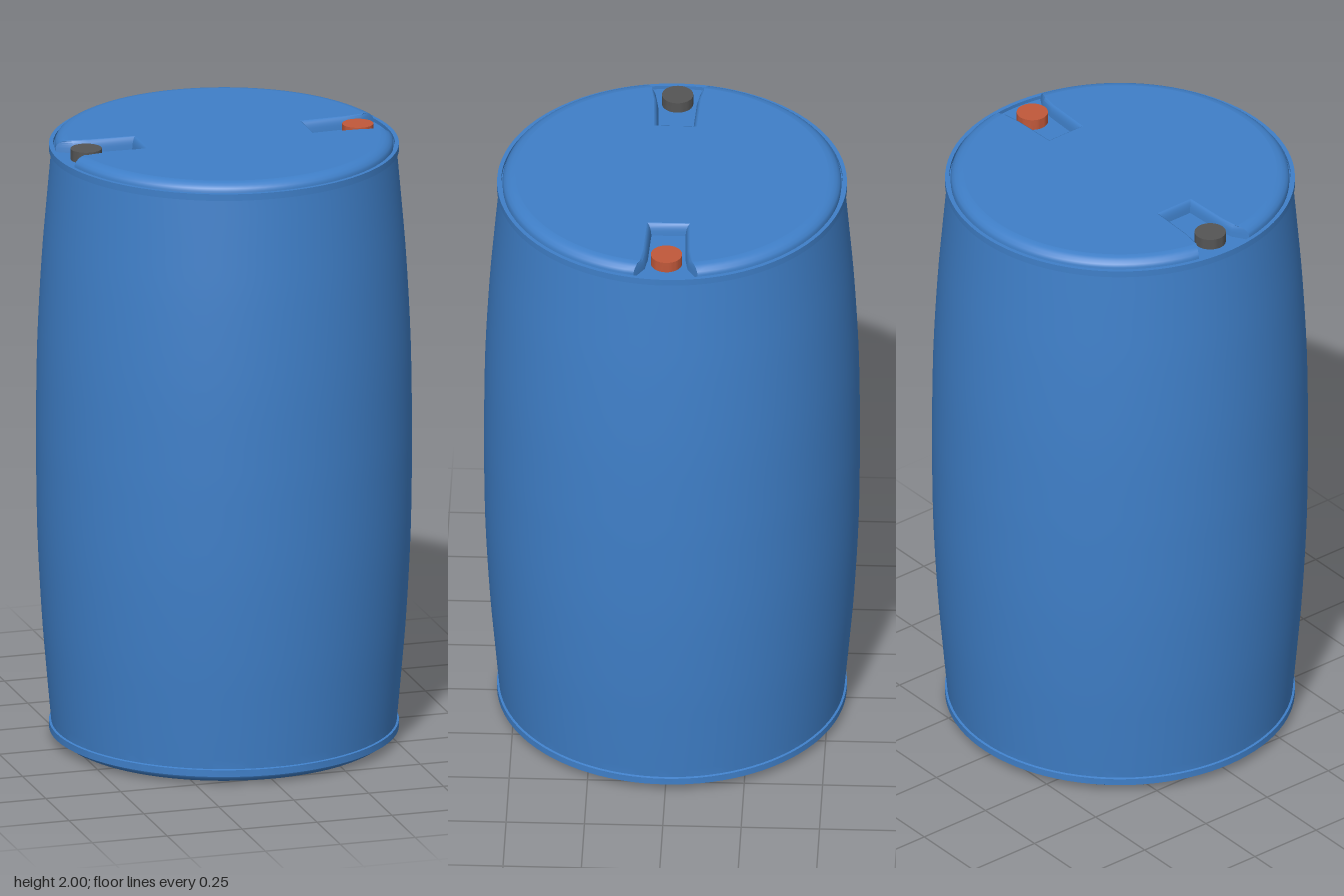
import * as THREE from 'three';
import { toCreasedNormals } from 'three/addons/utils/BufferGeometryUtils.js';

const blue = new THREE.MeshStandardMaterial({ color: 0x3f7fc8 });
const orange = new THREE.MeshStandardMaterial({ color: 0xc0583a });
const dark = new THREE.MeshStandardMaterial({ color: 0x555555 });

function part(name, geometry, material, crease = 0.6) {
  const mesh = new THREE.Mesh(toCreasedNormals(geometry, crease), material);
  mesh.name = name;
  return mesh;
}

// Bulging wall with a lip at each end, closed by the floors of the recesses
function barrelGeometry() {
  const pts = [[0, 0.04], [0.545, 0.04], [0.545, 0.028], [0.558, 0.028], [0.558, 0.05], [0.551, 0.052]];
  const wall = new THREE.SplineCurve([
    [0.551, 0.052], [0.566, 0.22], [0.582, 0.42], [0.596, 0.7], [0.6, 1],
  ].map(([x, y]) => new THREE.Vector2(x, y)));
  const lower = pts.map(([x, y]) => new THREE.Vector2(x, y)).concat(wall.getPoints(16).slice(1));
  const upper = lower.slice(0, -1).reverse().map(p => new THREE.Vector2(p.x, 2 - p.y));
  return new THREE.LatheGeometry(lower.concat(upper), 96);
}

// Outline of the end plate: a disc with a flared notch on either side
function plateOutline(radius, spread) {
  const mouth = 0.1 - (0.54 - radius) * 0.8 + spread;
  const start = Math.asin(mouth / radius);
  const half = [];
  const steps = 48;
  for (let i = 0; i <= steps; i++) {
    const a = start + (Math.PI - 2 * start) * i / steps;
    half.push([radius * Math.cos(a), radius * Math.sin(a)]);
  }
  const side = [[-0.48, 0.068 + spread], [-0.43, 0.06 + spread], [-0.29 + spread, 0.054 + spread]];
  half.push(...side, ...side.map(([x, v]) => [x, -v]).reverse());
  return half.concat(half.map(([x, v]) => [-x, -v]));
}

// Rounded edge of the plate, lofted through outlines of [radius, height, spread]
const rings = [
  [0.54, 1.958, 0], [0.54, 1.975, 0.002], [0.536, 1.984, 0.004],
  [0.527, 1.992, 0.007], [0.515, 1.998, 0.011], [0.5, 2, 0.015],
];

function edgeGeometry() {
  const position = [], index = [];
  const loops = rings.map(([r, y, s]) => plateOutline(r, s).map(([x, v]) => [x, y, -v]));
  const n = loops[0].length;
  loops.forEach(loop => loop.forEach(p => position.push(...p)));
  for (let k = 0; k < loops.length - 1; k++) {
    for (let i = 0; i < n; i++) {
      const a = k * n + i, b = k * n + (i + 1) % n;
      index.push(a, b, b + n, a, b + n, a + n);
    }
  }
  const geometry = new THREE.BufferGeometry();
  geometry.setAttribute('position', new THREE.Float32BufferAttribute(position, 3));
  geometry.setIndex(index);
  return geometry;
}

function makeEnd(name) {
  const end = new THREE.Group();
  end.name = name;
  const [radius, y, spread] = rings[rings.length - 1];
  const shape = new THREE.Shape(plateOutline(radius, spread).map(([x, v]) => new THREE.Vector2(x, v)));
  const face = new THREE.ShapeGeometry(shape).rotateX(-Math.PI / 2).translate(0, y, 0);
  end.add(part('endFace', face, blue), part('endEdge', edgeGeometry(), blue));
  return end;
}

function makePlug(name, x, material) {
  const plug = part(name, new THREE.CylinderGeometry(0.05, 0.05, 0.037, 40), material);
  plug.position.set(x, 1.9775, 0);
  return plug;
}

export function createModel() {
  const model = new THREE.Group();
  model.name = 'barrel';
  model.add(part('barrelWall', barrelGeometry(), blue));

  // Matching ends, the lower one turned over
  const bottom = makeEnd('bottomEnd');
  bottom.rotation.x = Math.PI;
  bottom.position.y = 2;
  model.add(makeEnd('topEnd'), bottom);

  // Plugs in the top recesses
  model.add(makePlug('leftPlug', 0.447, orange), makePlug('rightPlug', -0.46, dark));
  return model;
}
